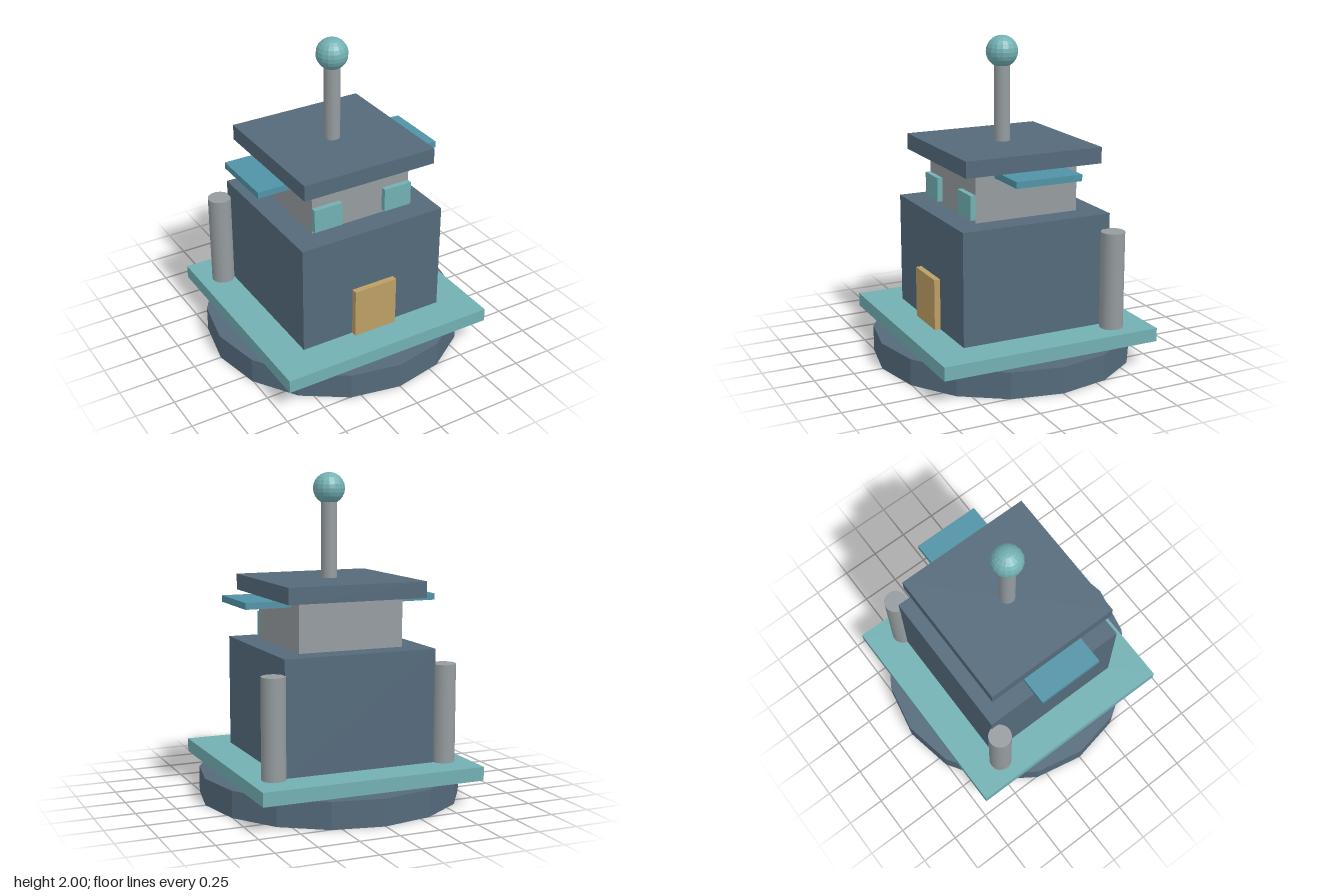
import * as THREE from 'three';

export function createModel() {
  const model = new THREE.Group();
  model.name = 'tower';

  const material = (name, color, flatShading = false) => {
    const m = new THREE.MeshStandardMaterial({ color, flatShading });
    m.name = name;
    return m;
  };
  const slate = material('slate', 0x546a7b, true);
  const teal = material('teal', 0x72b0b3, true);
  const grey = material('grey', 0x959c9f);
  const blue = material('blue', 0x5093a6);
  const gold = material('gold', 0xbc9f64);

  const add = (name, geometry, mat, x, y, z) => {
    const mesh = new THREE.Mesh(geometry, mat);
    mesh.name = name;
    mesh.position.set(x, y, z);
    model.add(mesh);
    return mesh;
  };
  // Box and cylinder spanning y0 to y1
  const box = (name, mat, w, d, y0, y1, x = 0, z = 0) =>
    add(name, new THREE.BoxGeometry(w, y1 - y0, d), mat, x, (y0 + y1) / 2, z);
  const cylinder = (name, mat, r, sides, y0, y1, x = 0, z = 0) =>
    add(name, new THREE.CylinderGeometry(r, r, y1 - y0, sides), mat, x, (y0 + y1) / 2, z);

  // Stacked tiers
  cylinder('base', slate, 0.817, 16, 0, 0.165);
  box('platform', teal, 1.414, 1.414, 0.165, 0.25);
  box('body', slate, 0.974, 0.974, 0.25, 0.95);
  box('upperRoom', grey, 0.674, 0.674, 0.95, 1.255);
  box('roof', slate, 0.892, 0.892, 1.255, 1.355);

  // Door on the front
  box('door', gold, 0.29, 0.05, 0.25, 0.57, 0, 0.5);

  // Mirrored details
  for (const [side, s] of [['left', 1], ['right', -1]]) {
    box(side + 'Window', teal, 0.188, 0.05, 0.97, 1.12, s * 0.243, 0.345);
    box(side + 'Awning', blue, 0.29, 0.425, 1.21, 1.25, s * 0.478, 0);
    cylinder(side + 'Column', grey, 0.073, 24, 0.25, 0.855, s * 0.553, -0.473);
  }

  // Mast and finial
  cylinder('mast', grey, 0.05, 20, 1.355, 1.85);
  add('finial', new THREE.SphereGeometry(0.098, 16, 12), teal, 0, 1.902, 0);

  return model;
}
